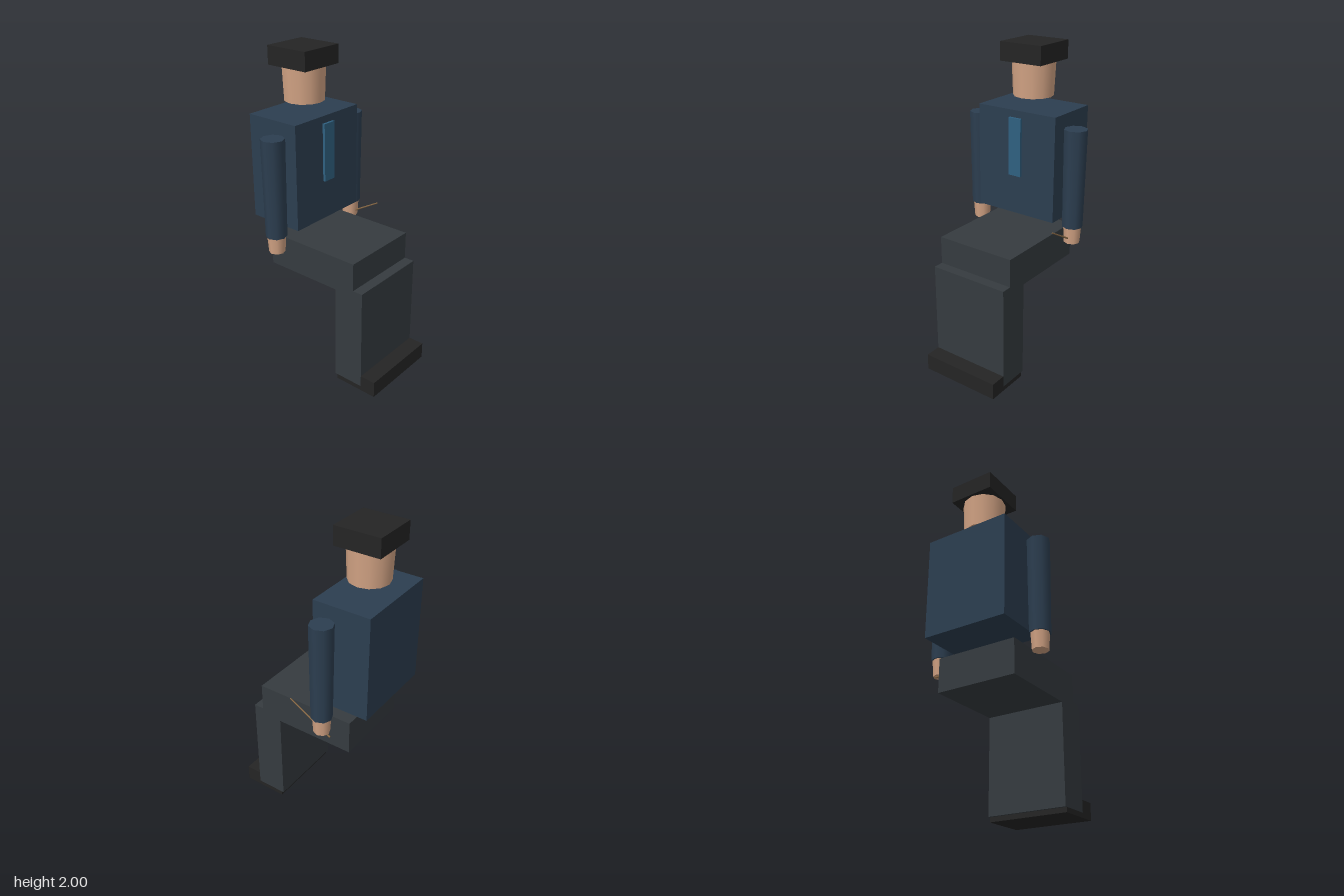
import * as THREE from 'three';

const mat = (color) => new THREE.MeshStandardMaterial({ color });

export function createModel() {
  const group = new THREE.Group();
  const coat = mat(0x2c3e50), blue = mat(0x2f6080), trousers = mat(0x353b3f);
  const black = mat(0x242424), skin = mat(0xd2a384), wood = mat(0x8b6b47);

  const add = (name, geometry, material, x, y, z) => {
    const mesh = new THREE.Mesh(geometry, material);
    mesh.name = name;
    mesh.position.set(x, y, z);
    group.add(mesh);
    return mesh;
  };
  // Box between two heights and two depths, centred sideways
  const block = (name, material, width, [y0, y1], [z0, z1]) =>
    add(name, new THREE.BoxGeometry(width, y1 - y0, z1 - z0), material,
      -0.002, (y0 + y1) / 2, (z0 + z1) / 2);
  // Upright tapered cylinder between two heights
  const column = (name, material, rTop, rBottom, sides, x, [y0, y1], z) =>
    add(name, new THREE.CylinderGeometry(rTop, rBottom, y1 - y0, sides), material,
      x, (y0 + y1) / 2, z);

  // Seated legs and shoes
  block('shoes', black, 0.524, [0, 0.105], [0.182, 0.472]);
  block('shins', trousers, 0.525, [0.03, 0.69], [0.168, 0.37]);
  block('thighs', trousers, 0.525, [0.65, 0.867], [-0.35, 0.304]);

  // Torso with tie
  block('torso', coat, 0.557, [0.956, 1.614], [-0.473, -0.108]);
  block('tie', blue, 0.088, [1.206, 1.569], [-0.118, -0.092]);

  // Floating head and flat cap
  column('head', skin, 0.136, 0.125, 12, -0.002, [1.675, 1.93], -0.289);
  block('cap', black, 0.29, [1.886, 2], [-0.437, -0.145]);

  // Arms and hands
  for (const [side, s] of [['left', 1], ['right', -1]]) {
    const x = s * 0.352 - 0.001;
    column(side + 'Sleeve', coat, 0.072, 0.065, 8, x, [0.92, 1.535], -0.218);
    column(side + 'Hand', skin, 0.058, 0.05, 8, x, [0.815, 0.935], -0.218);
  }

  // Thin stick held in the left hand, tilted up and forward
  const low = new THREE.Vector3(0.351, 0.793, -0.275);
  const tip = new THREE.Vector3(0.351, 0.953, 0.008);
  const middle = low.clone().add(tip).multiplyScalar(0.5);
  const stick = add('stick', new THREE.CylinderGeometry(0.004, 0.006, low.distanceTo(tip), 6),
    wood, middle.x, middle.y, middle.z);
  stick.quaternion.setFromUnitVectors(new THREE.Vector3(0, 1, 0), tip.clone().sub(low).normalize());

  return group;
}
